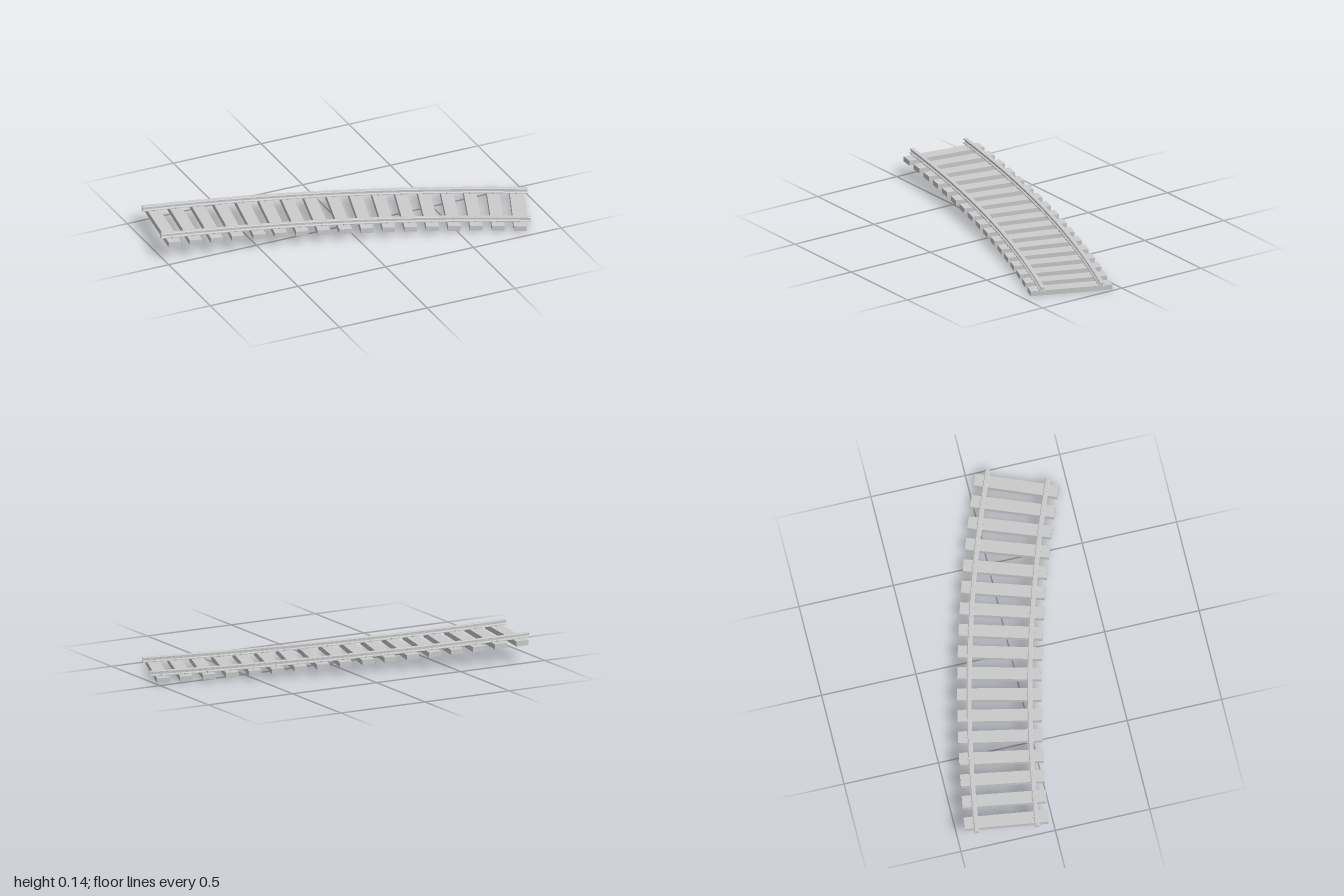
import * as THREE from 'three';

// Curved centre line: a 15 degree arc that descends steadily toward +x
const R = 7.575, CX = -1.969, CZ = 7.26;
const A0 = THREE.MathUtils.degToRad(7.5), SWEEP = THREE.MathUtils.degToRad(15);
const RISE = 0.085, GAUGE = 0.313, SLEEPERS = 17;
const SLEEPER_H = 0.027, RAIL_H = 0.026;

// Point at fraction t along the track, offset outward from the centre line and up
function trackPoint(t, out, up) {
  const a = A0 + SWEEP * t, r = R + out;
  return new THREE.Vector3(CX + r * Math.sin(a), RISE * (1 - t) - 0.001 + up, CZ - r * Math.cos(a));
}

// Frame at fraction t: x outward, y up, z along the sloping track
function trackMatrix(t, out, up) {
  const a = A0 + SWEEP * t;
  const x = new THREE.Vector3(Math.sin(a), 0, -Math.cos(a));
  const z = new THREE.Vector3(Math.cos(a), -RISE / (R * SWEEP), Math.sin(a)).normalize();
  const y = z.clone().cross(x);
  return new THREE.Matrix4().makeBasis(x, y, z).setPosition(trackPoint(t, out, up));
}

// Rail section (foot, web, head) extruded, then bent along the arc
function railGeometry(out) {
  const half = [[0.013, 0], [0.013, 0.004], [0.004, 0.008], [0.004, 0.017], [0.011, 0.019], [0.011, 0.024], [0.009, RAIL_H]];
  const points = [...half, ...half.map(([x, y]) => [-x, y]).reverse()];
  const shape = new THREE.Shape(points.map(([x, y]) => new THREE.Vector2(x, y)));
  const geo = new THREE.ExtrudeGeometry(shape, { depth: 1, steps: 32, bevelEnabled: false });
  const pos = geo.attributes.position;
  for (let i = 0; i < pos.count; i++) {
    const p = trackPoint(pos.getZ(i), out + pos.getX(i), SLEEPER_H + pos.getY(i));
    pos.setXYZ(i, p.x, p.y, p.z);
  }
  geo.computeVertexNormals();
  return geo;
}

export function createModel() {
  const track = new THREE.Group();
  track.name = 'curvedTrack';
  const material = new THREE.MeshStandardMaterial({ color: 0xcccccc });

  const add = (name, geo, matrix) => {
    const mesh = new THREE.Mesh(geo, material);
    mesh.name = name;
    if (matrix) mesh.applyMatrix4(matrix);
    track.add(mesh);
  };

  // Two rails
  add('outerRail', railGeometry(GAUGE / 2));
  add('innerRail', railGeometry(-GAUGE / 2));

  // Sleepers with a spike on each side of both rail feet
  const sleeperGeo = new THREE.BoxGeometry(0.435, SLEEPER_H, 0.066);
  const spikeGeo = new THREE.CylinderGeometry(0.005, 0.005, 0.007, 8);
  for (let i = 0; i < SLEEPERS; i++) {
    const t = (i + 0.5) / SLEEPERS;
    add('sleeper', sleeperGeo, trackMatrix(t, 0, SLEEPER_H / 2));
    for (const rail of [-1, 1]) {
      for (const side of [-1, 1]) {
        add('spike', spikeGeo, trackMatrix(t, rail * GAUGE / 2 + side * 0.014, SLEEPER_H + 0.003));
      }
    }
  }
  return track;
}
